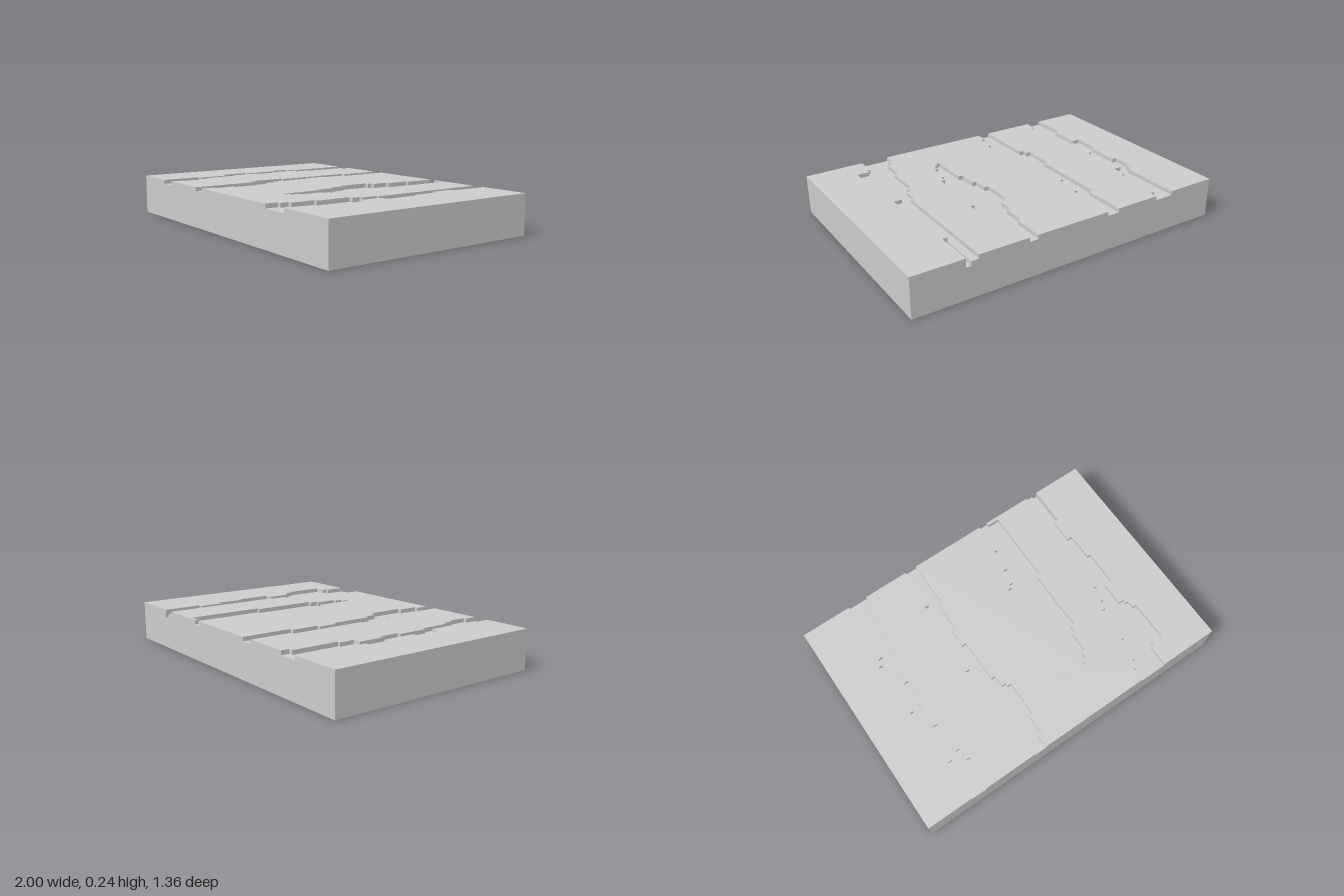
import * as THREE from 'three';
import { mergeGeometries } from 'three/addons/utils/BufferGeometryUtils.js';

const D = 0.68;                                  // half depth
const TOP = 0.24, FLOOR = 0.215, PIT = 0.19;     // surface levels

// Stepped edge running back to front: [x, z where that x ends], ...
function stair(steps, zEnd = D) {
  const pts = [];
  let z = -D;
  for (const [x, end = zEnd] of steps) {
    pts.push([x, z], [x, end]);
    z = end;
  }
  return pts;
}

// Horizontal face from [x, z] points
function flat(pts, y, down = false) {
  const s = new THREE.Shape(pts.map(([x, z]) => new THREE.Vector2(x, down ? z : -z)));
  return new THREE.ShapeGeometry(s).rotateX(down ? Math.PI / 2 : -Math.PI / 2).translate(0, y, 0);
}

// Vertical strips along a path; segments lying on the front or back border stay open
function walls(pts, y0, y1) {
  const out = [];
  for (let i = 0; i < pts.length - 1; i++) {
    const [ax, az] = pts[i], [bx, bz] = pts[i + 1];
    const len = Math.hypot(bx - ax, bz - az);
    if (len < 1e-6 || (az === bz && Math.abs(az) === D)) continue;
    out.push(new THREE.PlaneGeometry(len, y1 - y0)
      .rotateY(Math.atan2(az - bz, bx - ax))
      .translate((ax + bx) / 2, (y0 + y1) / 2, (az + bz) / 2));
  }
  return out;
}

// Front or back face whose upper edge is notched: [x0, x1, y], ...
function notchedFace(notches, back) {
  const pts = [[-1, 0], [-1, TOP]];
  notches.forEach(([x0, x1, y], i) => {
    if (!i || notches[i - 1][1] !== x0) pts.push([x0, TOP]);
    pts.push([x0, y], [x1, y]);
    if (i === notches.length - 1 || notches[i + 1][0] !== x1) pts.push([x1, TOP]);
  });
  pts.push([1, TOP], [1, 0]);
  const s = new THREE.Shape(pts.map(([x, y]) => new THREE.Vector2(back ? -x : x, y)));
  const g = new THREE.ShapeGeometry(s);
  return back ? g.rotateY(Math.PI).translate(0, 0, -D) : g.translate(0, 0, D);
}

export function createModel() {
  const group = new THREE.Group();
  const material = new THREE.MeshStandardMaterial({ color: 0xcccccc, flatShading: true });
  const add = (name, parts) => {
    const mesh = new THREE.Mesh(mergeGeometries(parts), material);
    mesh.name = name;
    group.add(mesh);
  };

  // Left and right banks of the four channels
  const c1 = {
    l: stair([[-0.69, -0.3], [-0.715, -0.255], [-0.74, -0.13], [-0.715, 0.08], [-0.74, 0.25], [-0.69, 0.44], [-0.715]]),
    r: stair([[-0.57, -0.63], [-0.6, -0.345], [-0.62, -0.255], [-0.67, -0.09], [-0.645, 0.03], [-0.67, 0.22],
      [-0.645, 0.41], [-0.62, 0.485], [-0.6, 0.605], [-0.62]]),
  };
  const c2 = {
    l: stair([[-0.29, -0.42], [-0.315, 0.055], [-0.34, 0.25], [-0.315, 0.29], [-0.29]]),
    r: stair([[-0.215, -0.37], [-0.24, -0.205], [-0.265, -0.09], [-0.24, 0.175], [-0.215, 0.245], [-0.19, 0.265],
      [-0.165, 0.485], [-0.19, 0.605], [-0.215]]),
  };
  const c3 = {
    l: stair([[0.255, -0.49], [0.235, -0.35], [0.21, -0.255], [0.185, -0.23], [0.16, -0.04], [0.185, 0.055],
      [0.21, 0.175], [0.235]], 0.415),
    r: stair([[0.31, -0.66], [0.38, -0.205], [0.355, 0.175], [0.33, 0.22], [0.31, 0.345], [0.285, 0.39], [0.26]], 0.415),
  };
  const bank4 = [[0.66, -0.3], [0.69, -0.135], [0.71, 0.08], [0.66, 0.22], [0.69, 0.245], [0.71, 0.29],
    [0.735, 0.53], [0.66, 0.555], [0.64]];
  const c4 = {
    l: stair([[0.615, 0.055], [0.595, 0.15], [0.57, 0.2], [0.545, 0.415], [0.52, 0.555], [0.495, 0.605], [0.47]]),
    r: stair([[0.69, -0.445], ...bank4]),
    floor: stair(bank4),
  };
  const channels = [c1, c2, c3, c4];
  const rev = (a) => [...a].reverse();

  // Raised top surfaces between the channels
  add('topSurface', [
    flat([[-1, -D], ...c1.l, [-1, D]], TOP),
    flat([...c1.r, ...rev(c2.l)], TOP),
    flat([...c2.r, ...rev(c4.l), ...c3.r, ...rev(c3.l)], TOP),
    flat([...c4.r, [1, D], [1, -D]], TOP),
  ]);

  // Sunken channel floors and their stepped banks
  channels.forEach((c, i) => add(`channel${i + 1}`, [
    flat([...(c.floor || c.r), ...rev(c.l)], FLOOR),
    ...walls([...c.r, ...rev(c.l)], FLOOR, TOP),
  ]));

  // Small deeper pit at the back of the last channel
  const pit = [[0.69, -D], [0.69, -0.445], [0.66, -0.445], [0.66, -D]];
  add('deepPit', [flat(pit, PIT), ...walls(pit, PIT, FLOOR)]);

  // Outer sides and underside of the slab
  const frontNotches = [c1, c2, c4].map((c) => [c.l.at(-1)[0], c.r.at(-1)[0], FLOOR]);
  const backNotches = channels.map((c) => [c.l[0][0], (c.floor || c.r)[0][0], FLOOR]);
  add('slabSides', [
    notchedFace(frontNotches, false),
    notchedFace([...backNotches, [0.66, 0.69, PIT]], true),
    ...walls([[1, D], [1, -D]], 0, TOP),
    ...walls([[-1, -D], [-1, D]], 0, TOP),
    flat([[-1, -D], [1, -D], [1, D], [-1, D]], 0, true),
  ]);
  return group;
}
